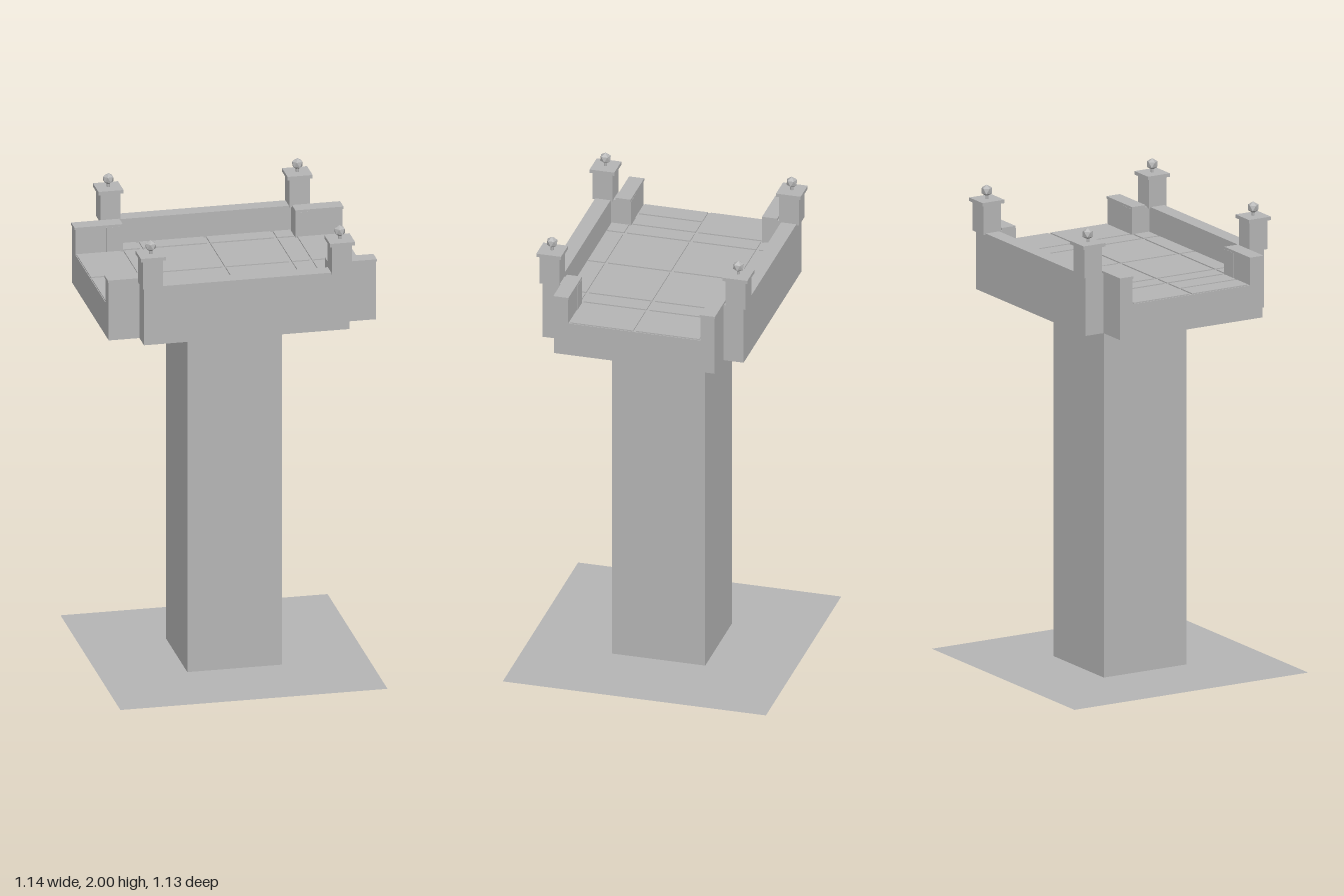
import * as THREE from 'three';

export function createModel() {
  const model = new THREE.Group();
  model.name = 'pillarTerrace';
  const stone = new THREE.MeshStandardMaterial({ color: 0xb4b4b4 });
  stone.name = 'grey stone';
  const groundStone = new THREE.MeshStandardMaterial({ color: 0xb4b4b4, side: THREE.DoubleSide });
  groundStone.name = 'ground grey';

  function add(name, geometry, parent = model, material = stone) {
    const mesh = new THREE.Mesh(geometry, material);
    mesh.name = name;
    parent.add(mesh);
    return mesh;
  }
  // box given by its limits on each axis
  function block(name, x0, x1, y0, y1, z0, z1, parent = model) {
    const mesh = add(name, new THREE.BoxGeometry(x1 - x0, y1 - y0, z1 - z0), parent);
    mesh.position.set((x0 + x1) / 2, (y0 + y1) / 2, (z0 + z1) / 2);
    return mesh;
  }

  // ground sheet and column
  add('groundSheet', new THREE.PlaneGeometry(1.13, 1.13).rotateX(-Math.PI / 2), model, groundStone);
  block('column', -0.2, 0.2, 0.002, 1.55, -0.2, 0.2);

  // cross-shaped deck
  const base = 1.55, floor = 1.695;
  const quarter = [[0.565, 0.345], [0.435, 0.345], [0.435, 0.432]];
  const outline = [
    ...quarter,
    ...quarter.map(([x, z]) => [-x, z]).reverse(),
    ...quarter.map(([x, z]) => [-x, -z]),
    ...quarter.map(([x, z]) => [x, -z]).reverse(),
  ].map(([x, z]) => new THREE.Vector2(x, z));
  const deck = new THREE.ExtrudeGeometry(new THREE.Shape(outline), { depth: floor - base, bevelEnabled: false });
  add('deck', deck.rotateX(-Math.PI / 2)).position.y = base;

  // paving slabs, separated by narrow joints
  const paving = new THREE.Group();
  paving.name = 'paving';
  model.add(paving);
  const outerLeft = [-0.562, -0.376], outerRight = [0.374, 0.562];
  const inner = [[-0.362, -0.291], [-0.278, -0.006], [0.006, 0.277], [0.289, 0.362]];
  const rows = [
    { z: [-0.365, -0.291], columns: inner },
    { z: [-0.278, -0.006], columns: [outerLeft, ...inner, outerRight] },
    { z: [0.006, 0.277], columns: [[-0.562, -0.475], [-0.463, -0.376], ...inner, outerRight] },
    { z: [0.289, 0.362], columns: inner },
  ];
  for (const { z, columns } of rows) {
    for (const [x0, x1] of columns) block('slab', x0, x1, floor, 1.7, z[0], z[1], paving);
  }

  // ball with a corner pointing straight up
  const ball = new THREE.IcosahedronGeometry(0.025, 0);
  ball.rotateZ(Math.atan(2 / (1 + Math.sqrt(5))));

  for (const sz of [1, -1]) {
    // long parapet between the corner piers
    const wall = block('parapet', -0.365, 0.365, floor, 1.805, 0.366, 0.432);
    wall.position.z *= sz;

    for (const sx of [1, -1]) {
      const corner = new THREE.Group();
      corner.name = 'corner';
      model.add(corner);
      // pier, wing wall and coping
      block('pier', 0.365, 0.435, floor, 1.805, 0.281, 0.432, corner);
      block('wingWall', 0.435, 0.565, floor, 1.81, 0.284, 0.345, corner);
      block('wingCoping', 0.365, 0.569, 1.805, 1.815, 0.282, 0.347, corner);
      // post with cap and ball finial
      block('post', 0.357, 0.443, 1.8, 1.925, 0.357, 0.443, corner);
      block('postCap', 0.347, 0.453, 1.925, 1.94, 0.347, 0.453, corner);
      add('finialNeck', new THREE.CylinderGeometry(0.007, 0.007, 0.02, 6), corner).position.set(0.4, 1.948, 0.4);
      add('finialBall', ball, corner).position.set(0.4, 1.975, 0.4);
      // mirror every part into its own corner
      for (const part of corner.children) {
        part.position.x *= sx;
        part.position.z *= sz;
      }
    }
  }
  return model;
}
